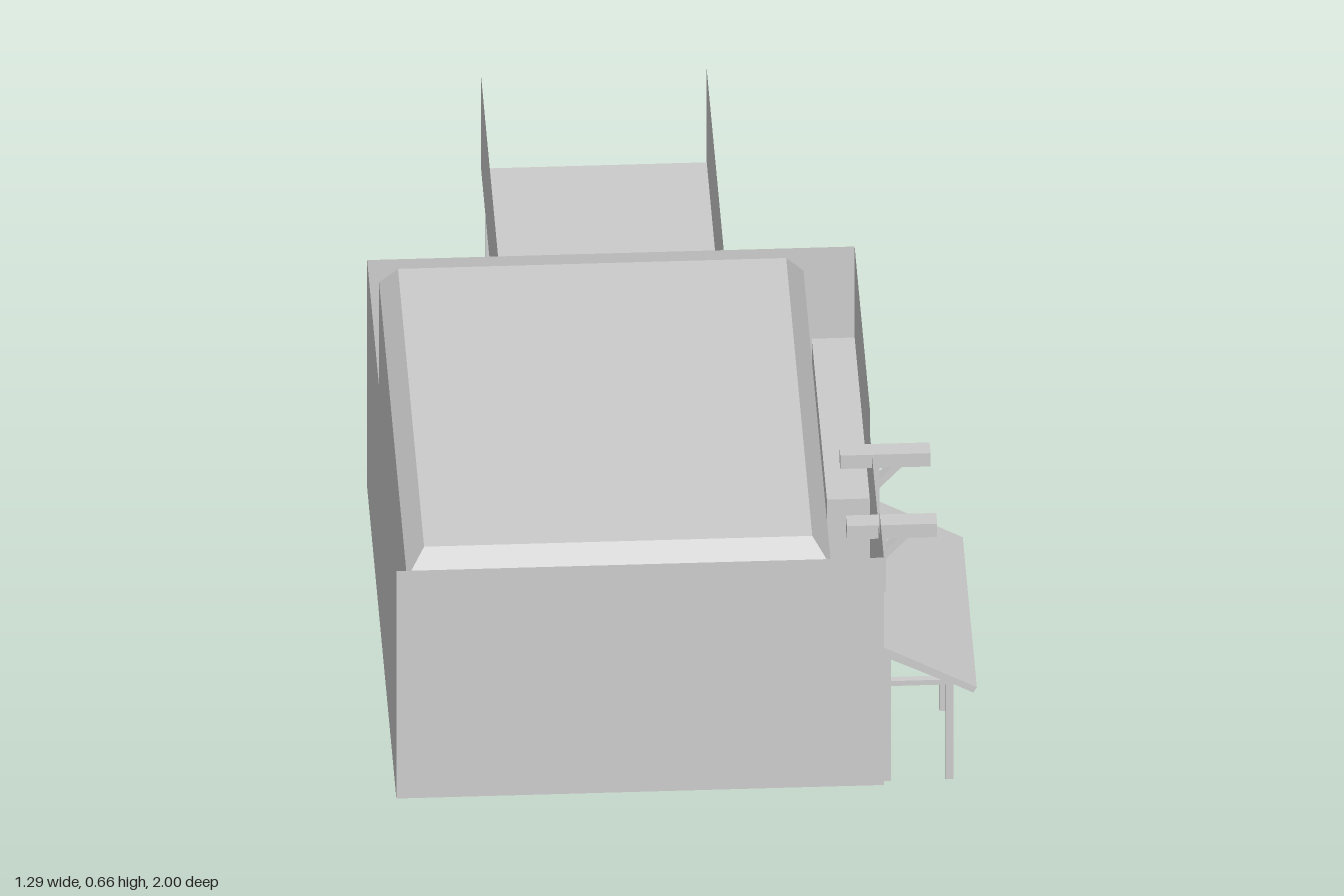
import * as THREE from 'three';

export function createModel() {
  const model = new THREE.Group();
  const grey = new THREE.MeshStandardMaterial({ color: 0xcccccc, side: THREE.DoubleSide, flatShading: true });
  grey.name = 'plain grey';

  const add = (name, geometry, parent = model) => {
    const mesh = new THREE.Mesh(geometry, grey);
    mesh.name = name;
    parent.add(mesh);
    return mesh;
  };
  const group = (name) => {
    const g = new THREE.Group();
    g.name = name;
    model.add(g);
    return g;
  };
  // Box given by its two extreme corners
  const box = (name, x0, x1, y0, y1, z0, z1, parent) =>
    add(name, new THREE.BoxGeometry(x1 - x0, y1 - y0, z1 - z0), parent)
      .position.set((x0 + x1) / 2, (y0 + y1) / 2, (z0 + z1) / 2);
  const shape = (pts) => new THREE.Shape(pts.map((p) => new THREE.Vector2(...p)));
  // Flat panel facing along z (points are x, y)
  const panelZ = (name, z, pts, parent) =>
    add(name, new THREE.ShapeGeometry(shape(pts)).translate(0, 0, z), parent);
  // Flat panel facing along x (points are z, y), with an optional hole
  const panelX = (name, x, pts, hole, parent) => {
    const s = shape(pts);
    if (hole) s.holes.push(shape(hole));
    return add(name, new THREE.ShapeGeometry(s).rotateY(-Math.PI / 2).translate(x, 0, 0), parent);
  };
  // Horizontal panel
  const panelY = (name, y, x0, x1, z0, z1, parent) =>
    add(name, new THREE.PlaneGeometry(x1 - x0, z1 - z0).rotateX(-Math.PI / 2)
      .translate((x0 + x1) / 2, y, (z0 + z1) / 2), parent);
  // Profile in x, y extruded from z0 to z1
  const extrudeZ = (name, pts, z0, z1, parent) =>
    add(name, new THREE.ExtrudeGeometry(shape(pts), { depth: z1 - z0, bevelEnabled: false })
      .translate(0, 0, z0), parent);
  // Profile in z, y extruded from x0 to x1
  const extrudeX = (name, pts, x0, x1, parent) =>
    add(name, new THREE.ExtrudeGeometry(shape(pts), { depth: x1 - x0, bevelEnabled: false })
      .rotateY(-Math.PI / 2).translate(x1, 0, 0), parent);

  const L = -0.645, R = 0.435, REC = 0.34, B = -0.265, F = 1;
  const LOW = 0.04, MID = 0.4, TOP = 0.64, SIDE = 0.39;

  // Outer walls: open shell, with a recessed lower storey at the left rear
  const walls = group('outerWalls');
  panelZ('frontWall', F, [[L, LOW], [R, LOW], [R, TOP], [L, TOP]], walls);
  panelZ('backWall', B, [[L, LOW], [REC, LOW], [REC, MID], [R, MID], [R, TOP], [L, TOP]], walls);
  panelX('plainSideWall', L, [[B, LOW], [F, LOW], [F, TOP], [B, TOP]], null, walls);
  panelX('notchedSideWall', R, [
    [F, LOW], [F, TOP], [0.82, TOP], [0.82, 0.575], [SIDE, 0.575], [SIDE, TOP],
    [B, TOP], [B, MID], [SIDE, MID], [SIDE, LOW],
  ], null, walls);
  panelX('recessedWall', REC, [[B, LOW], [SIDE, LOW], [SIDE, MID], [B, MID]],
    [[0.12, 0.08], [0.29, 0.08], [0.29, 0.31], [0.12, 0.31]], walls);
  panelZ('recessReturn', SIDE, [[REC, LOW], [R, LOW], [R, MID], [REC, MID]], walls);
  panelY('overhangSoffit', MID, REC, R, B, SIDE, walls);

  // Doorway set into the recessed wall, with two steps
  const door = group('doorway');
  panelX('doorPanel', 0.322, [[0.12, 0.08], [0.29, 0.08], [0.29, 0.31], [0.12, 0.31]], null, door);
  for (const y of [0.08, 0.31]) panelY('doorReveal', y, 0.322, REC, 0.12, 0.29, door);
  for (const z of [0.12, 0.29]) {
    panelZ('doorJamb', z, [[0.322, 0.08], [REC, 0.08], [REC, 0.31], [0.322, 0.31]], door);
  }
  box('lowerStep', REC, 0.405, LOW, 0.06, 0.06, 0.35, door);
  box('upperStep', REC, 0.38, 0.06, 0.08, 0.105, 0.305, door);

  // Inner shell: bevelled roof over straight sides, open underneath
  const ring = (x0, x1, z0, z1, y) => [[x0, y, z1], [x1, y, z1], [x1, y, z0], [x0, y, z0]];
  const rings = [
    ring(-0.62, 0.32, -0.235, 0.97, 0.085),
    ring(-0.62, 0.32, -0.235, 0.97, 0.6),
    ring(-0.58, 0.28, -0.2, 0.93, 0.657),
  ];
  const verts = [];
  const quad = (a, b, c, d) => verts.push(...a, ...b, ...c, ...a, ...c, ...d);
  for (let r = 0; r < 2; r++) {
    for (let i = 0; i < 4; i++) {
      const j = (i + 1) % 4;
      quad(rings[r][i], rings[r][j], rings[r + 1][j], rings[r + 1][i]);
    }
  }
  quad(...rings[2]);
  const shell = new THREE.BufferGeometry();
  shell.setAttribute('position', new THREE.Float32BufferAttribute(verts, 3));
  shell.computeVertexNormals();
  add('roofAndInnerShell', shell);

  // Raised walkway behind the building
  const walkway = group('walkway');
  panelY('walkwayFloor', 0.395, -0.355, 0.145, -1, -0.255, walkway);
  for (const x of [-0.355, 0.145]) {
    panelX('walkwayParapet', x, [[-1, 0.395], [B, 0.395], [B, TOP], [-1, TOP]], null, walkway);
  }

  // I-section posts with curved braces
  for (const x of [-0.328, 0.118]) {
    for (const [z0, z1, y0, dir] of [[-1, -0.97, 0, 1], [-0.285, B, LOW, -1]]) {
      const post = group('walkwayPost');
      const h = 0.0175, zc = (z0 + z1) / 2;
      box('postFlange', x - h, x - h + 0.009, y0, 0.395, z0, z1, post);
      box('postFlange', x + h - 0.009, x + h, y0, 0.395, z0, z1, post);
      box('postWeb', x - h, x + h, y0, 0.395, zc - 0.004, zc + 0.004, post);
      const face = dir > 0 ? z1 : z0;
      extrudeX('curvedBrace', [
        [0, 0.31], [0.01, 0.335], [0.035, 0.37], [0.07, 0.395],
        [0.05, 0.395], [0.022, 0.375], [0, 0.345],
      ].map(([d, y]) => [face + dir * d, y]), x - 0.008, x + 0.008, post);
    }
  }

  // Lean-to awning on the side wall
  const awning = group('awning');
  extrudeZ('awningRoof', [[R, 0.387], [0.633, 0.277], [0.641, 0.291], [R, 0.403]], SIDE, F, awning);
  for (const z of [0.4, 0.69, 0.967]) {
    const z1 = z + 0.017;
    box('awningOuterPost', 0.573, 0.59, LOW, 0.305, z, z1, awning);
    box('awningWallPost', R, 0.452, LOW, 0.385, z, z1, awning);
    box('awningTieBeam', 0.452, 0.573, 0.29, 0.303, z, z1, awning);
    extrudeZ('awningRafter', [[0.452, 0.36], [0.573, 0.298], [0.59, 0.302], [0.452, 0.378]], z, z1, awning);
  }

  // Projecting beams above the awning
  for (const z of [0.46, 0.747]) {
    const bracket = group('beamBracket');
    box('projectingBeam', 0.365, 0.565, 0.54, 0.575, z - 0.022, z + 0.022, bracket);
    box('bracketPost', R, 0.452, 0.395, 0.54, z - 0.015, z + 0.015, bracket);
    extrudeZ('bracketBrace', [[0.452, 0.482], [0.505, 0.54], [0.483, 0.54], [0.452, 0.505]],
      z - 0.015, z + 0.015, bracket);
  }
  return model;
}
